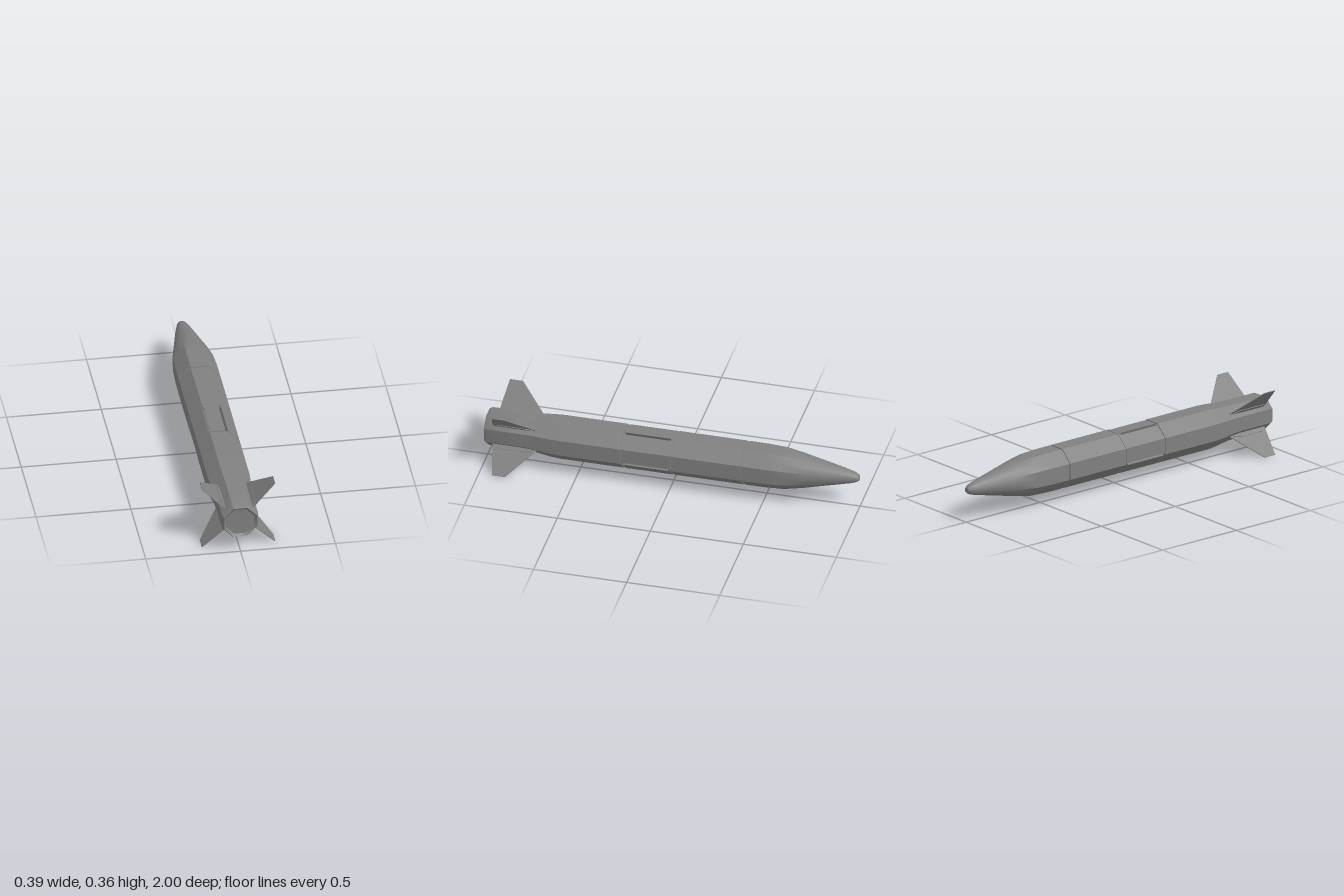
import * as THREE from 'three';
import { toCreasedNormals } from 'three/addons/utils/BufferGeometryUtils.js';

const grey = new THREE.MeshStandardMaterial({ color: 0x808080 });
grey.name = 'body grey';

const R = 0.11; // distance from axis to a flat of the octagon
const CORNER = 1 / Math.cos(Math.PI / 8);

// Loft along z; each ring is [z, radius to flat, centre y, roundness 0 octagon..1 circle]
function loft(rings) {
  const n = 16, pos = [], idx = [];
  rings.forEach(([z, r, cy = 0.172, round = 0]) => {
    for (let k = 0; k < n; k++) {
      const a = (k / n) * Math.PI * 2;
      const d = k % 2 ? r * THREE.MathUtils.lerp(CORNER, 1, round) : r;
      pos.push(Math.cos(a) * d, cy + Math.sin(a) * d * 0.98, z);
    }
  });
  for (let i = 0; i < rings.length - 1; i++) {
    for (let k = 0; k < n; k++) {
      const a = i * n + k, b = i * n + (k + 1) % n, c = b + n, d = a + n;
      if (rings[i][1] > 0) idx.push(a, b, c);
      if (rings[i + 1][1] > 0) idx.push(a, c, d);
    }
  }
  const g = new THREE.BufferGeometry();
  g.setAttribute('position', new THREE.Float32BufferAttribute(pos, 3));
  g.setIndex(idx);
  return toCreasedNormals(g, 0.6);
}

// Narrow ring groove cut into the octagonal skin
const groove = (z, depth) => [[z - 0.005, R], [z - 0.004, R - depth], [z + 0.004, R - depth], [z + 0.005, R]];

// Octagon with a wing slot cut at some of its corners
function slottedShape() {
  const slots = [1, 2, 4, 7];
  const corner = (i) => {
    const a = Math.PI / 8 + (i * Math.PI) / 4;
    return new THREE.Vector2(Math.cos(a), Math.sin(a) * 0.98).multiplyScalar(R * CORNER);
  };
  const pts = [];
  for (let i = 0; i < 8; i++) {
    const v = corner(i);
    if (!slots.includes(i)) { pts.push(v); continue; }
    const inward = v.clone().normalize().multiplyScalar(-0.02);
    const p = v.clone().lerp(corner(i + 7), 0.085);
    const q = v.clone().lerp(corner(i + 1), 0.085);
    pts.push(p, p.clone().add(inward), q.clone().add(inward), q);
  }
  return new THREE.Shape(pts);
}

// Flat plate from [radial, z] points, centred on its thickness
function plate(points, thickness) {
  const shape = new THREE.Shape(points.map(([s, z]) => new THREE.Vector2(s, z)));
  const g = new THREE.ExtrudeGeometry(shape, { depth: thickness, bevelEnabled: false });
  g.translate(0, 0, -thickness / 2);
  g.rotateX(Math.PI / 2);
  return g;
}

export function createModel() {
  const model = new THREE.Group();
  model.name = 'missile';
  const add = (geometry, name, parent = model) => {
    const mesh = new THREE.Mesh(geometry, grey);
    mesh.name = name;
    parent.add(mesh);
    return mesh;
  };

  // Rounded nose flowing into the octagonal front body
  add(loft([
    [-1, 0, 0.175, 1],
    [-0.997, 0.014, 0.175, 1],
    [-0.985, 0.024, 0.175, 1],
    [-0.96, 0.033, 0.175, 1],
    [-0.9, 0.048, 0.175, 0.95],
    [-0.8, 0.07, 0.174, 0.8],
    [-0.7, 0.092, 0.173, 0.6],
    [-0.6, 0.108, 0.172, 0.35],
    [-0.5, R, 0.172, 0.1],
    ...groove(-0.39, 0.005),
    ...groove(-0.012, 0.003),
    [0.005, R],
    [0.005, 0],
  ]), 'nose and front body');

  // Middle section with four folded-wing slots
  const mid = new THREE.ExtrudeGeometry(slottedShape(), { depth: 0.245, bevelEnabled: false });
  add(mid, 'slotted middle body').position.set(0, 0.172, 0.005);

  // Rear body, boat tail and shallow dished end
  add(loft([
    [0.25, 0],
    [0.25, R - 0.005],
    [0.258, R - 0.005],
    [0.259, R],
    [0.6, R],
    [0.66, 0.106, 0.173],
    [0.73, 0.098, 0.176],
    [0.8, 0.095, 0.177],
    [0.982, 0.095, 0.177],
    [1, 0.086, 0.177],
    [0.99, 0.074, 0.177],
    [0.988, 0, 0.177],
  ]), 'rear body');

  // Four swept tail fins with thicker root fairings
  for (const sx of [1, -1]) {
    for (const sy of [1, -1]) {
      const fin = new THREE.Group();
      fin.name = `${sy > 0 ? 'upper' : 'lower'}${sx > 0 ? 'Left' : 'Right'}Fin`;
      fin.position.set(sx * 0.016, 0.178, 0);
      fin.rotation.z = Math.atan2(sy, sx);
      add(plate([[0.08, 0.71], [0.25, 0.86], [0.25, 0.93], [0.09, 0.955], [0.08, 0.955]], 0.004), 'fin blade', fin);
      add(plate([[0.075, 0.74], [0.092, 0.74], [0.106, 0.78], [0.106, 0.93], [0.092, 0.95], [0.075, 0.95]], 0.011), 'fin root', fin);
      model.add(fin);
    }
  }
  return model;
}
